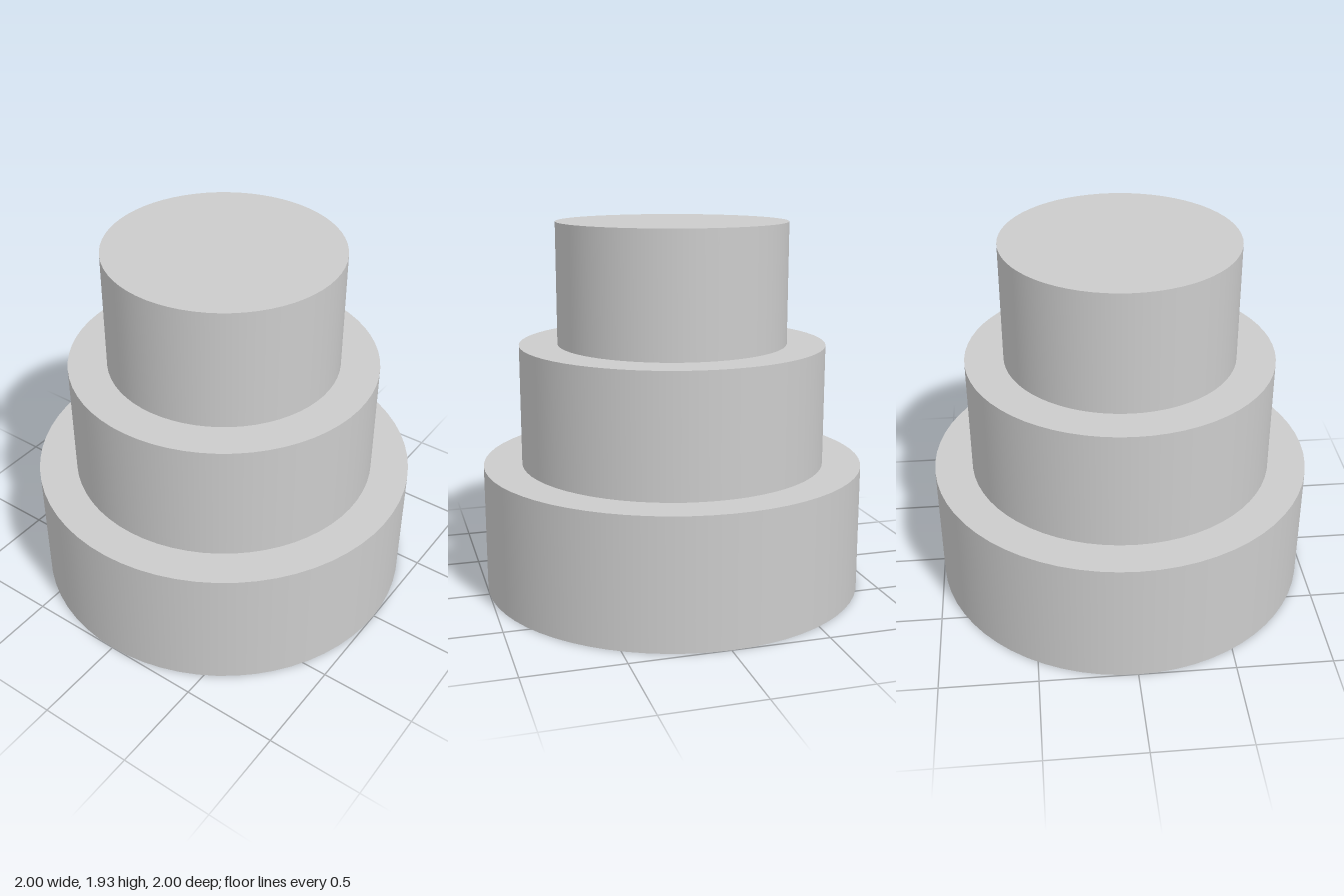
import * as THREE from 'three';

export function createModel() {
  const model = new THREE.Group();
  model.name = 'tieredCake';
  const material = new THREE.MeshStandardMaterial({ color: 0xcccccc });

  // Three round tiers, each narrower than the one below
  const tiers = [
    { name: 'bottomTier', radius: 1.0, base: 0, top: 0.67 },
    { name: 'middleTier', radius: 0.8, base: 0.67, top: 1.3 },
    { name: 'topTier', radius: 0.6, base: 1.3, top: 1.93 },
  ];

  for (const { name, radius, base, top } of tiers) {
    const tier = new THREE.Mesh(
      new THREE.CylinderGeometry(radius, radius, top - base, 64),
      material
    );
    tier.name = name;
    tier.position.y = (base + top) / 2;
    model.add(tier);
  }

  return model;
}
